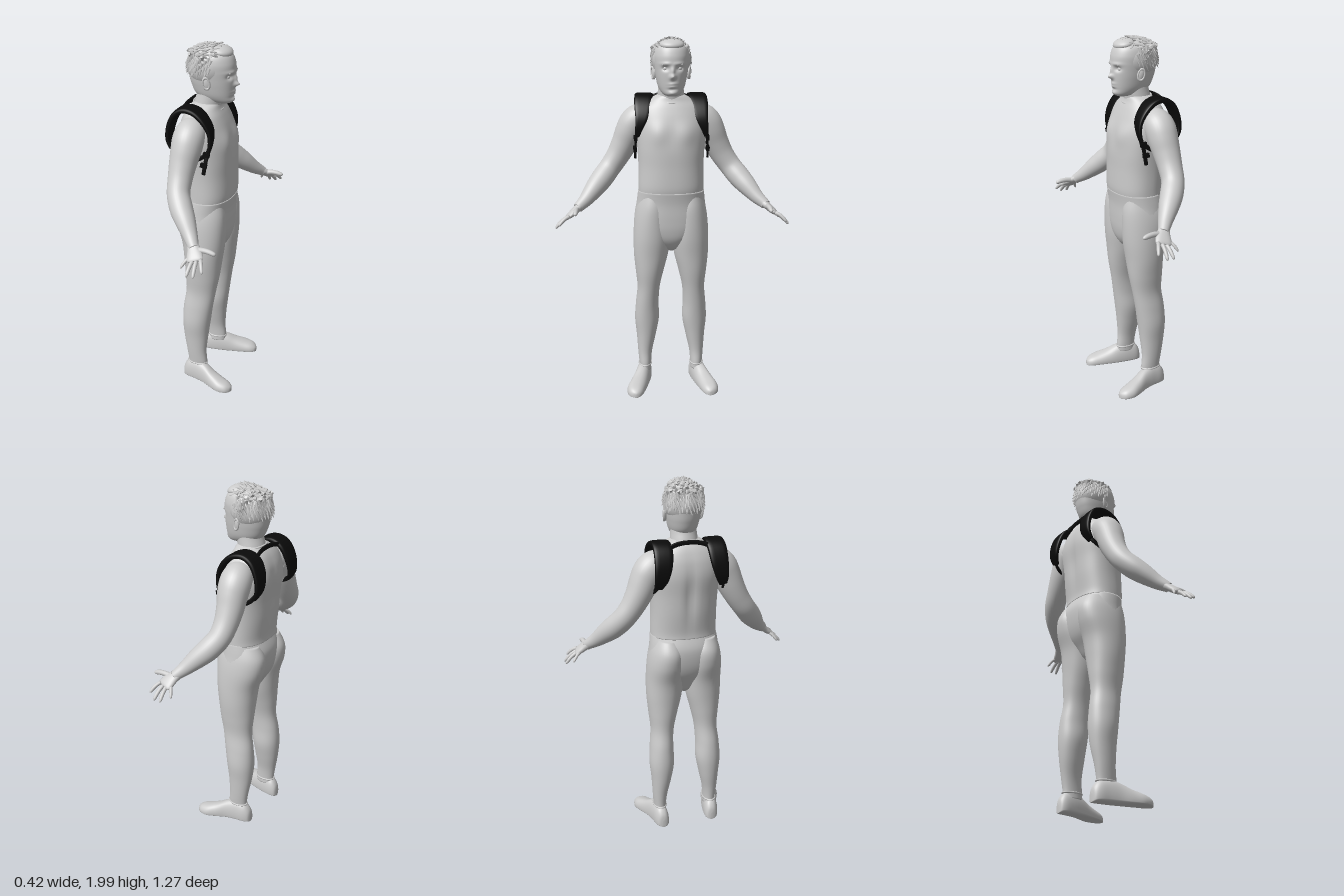
import * as THREE from 'three';

const grey = new THREE.MeshStandardMaterial({ color: 0xcccccc, side: THREE.DoubleSide });
const black = new THREE.MeshStandardMaterial({ color: 0x0b0b0b, side: THREE.DoubleSide });
const V = (x, y, z) => new THREE.Vector3(x, y, z);
const spow = (v, p) => Math.sign(v) * Math.abs(v) ** p;
const bell = (d, w) => Math.exp(-((d / w) ** 2));

// Catmull-Rom interpolation of every column in a table of sections
function smooth(rows, steps) {
  const at = i => rows[Math.max(0, Math.min(rows.length - 1, i))];
  const out = [];
  for (let i = 0; i < rows.length - 1; i++) {
    for (let k = 0; k < steps; k++) {
      const t = k / steps;
      out.push(rows[i].map((_, c) => {
        const [a, b, d, e] = [at(i - 1)[c], at(i)[c], at(i + 1)[c], at(i + 2)[c]];
        return b + 0.5 * t * (d - a + t * (2 * a - 5 * b + 4 * d - e + t * (3 * (b - d) + e - a)));
      }));
    }
  }
  return [...out, rows[rows.length - 1]];
}

// Skin a list of rings (equal point counts), close both ends, face outward
function skin(rings) {
  const n = rings[0].length, pts = rings.flat(), idx = [];
  for (let r = 0; r < rings.length - 1; r++) {
    for (let i = 0; i < n; i++) {
      const a = r * n + i, b = r * n + (i + 1) % n;
      idx.push(a, b, a + n, b, b + n, a + n);
    }
  }
  [0, rings.length - 1].forEach((r, end) => {
    const mid = pts.length;
    pts.push(rings[r].reduce((s, p) => s.add(p), V(0, 0, 0)).divideScalar(n));
    for (let i = 0; i < n; i++) {
      const a = r * n + i, b = r * n + (i + 1) % n;
      idx.push(...(end ? [a, b, mid] : [b, a, mid]));
    }
  });
  let volume = 0;
  for (let i = 0; i < idx.length; i += 3) {
    volume += pts[idx[i]].dot(V(0, 0, 0).crossVectors(pts[idx[i + 1]], pts[idx[i + 2]]));
  }
  if (volume < 0) idx.reverse();
  const g = new THREE.BufferGeometry().setFromPoints(pts);
  g.setIndex(idx);
  g.computeVertexNormals();
  return g;
}

const around = (n, f) => Array.from({ length: n }, (_, i) => {
  const a = i / n * Math.PI * 2;
  return f(Math.cos(a), Math.sin(a));
});

// Upright form: rows of [y, xBack, xFront, zMin, zMax]
const upright = (rows, p = 0.9, n = 48, steps = 6) => smooth(rows, steps).map(([y, xb, xf, z0, z1]) =>
  around(n, (c, s) => V((xb + xf) / 2 + (xf - xb) / 2 * spow(c, p), y, (z0 + z1) / 2 + (z1 - z0) / 2 * spow(s, p))));

// Limb along a path: rows of [x, y, z, radiusAlongRef, radiusAcross]
function limb(rows, ref, p = 1, n = 20, steps = 5) {
  const path = smooth(rows, steps), pos = path.map(r => V(r[0], r[1], r[2]));
  return skin(path.map((r, i) => {
    const t = pos[Math.min(i + 1, pos.length - 1)].clone().sub(pos[Math.max(i - 1, 0)]).normalize();
    const u = ref.clone().addScaledVector(t, -ref.dot(t)).normalize();
    const v = V(0, 0, 0).crossVectors(t, u);
    return around(n, (c, s) => pos[i].clone()
      .addScaledVector(u, r[3] * spow(c, p)).addScaledVector(v, r[4] * spow(s, p)));
  }));
}

export function createModel() {
  const model = new THREE.Group();
  const add = (name, geometry, material = grey, parent = model) => {
    const m = new THREE.Mesh(geometry, material);
    m.name = name;
    parent.add(m);
    return m;
  };
  const sym = rows => rows.map(([y, b, f, z]) => [y, b, f, -z, z]);

  // Shirt with chest relief, spine groove
  const shirt = upright(sym([[1.16, -.163, .098, .18], [1.2, -.163, .102, .18], [1.3, -.175, .101, .179],
    [1.4, -.182, .1, .184], [1.5, -.19, .085, .193], [1.57, -.182, .065, .186], [1.62, -.165, .045, .165],
    [1.655, -.145, .028, .125], [1.68, -.12, .02, .085], [1.69, -.1, .01, .06]]), 0.88, 64);
  shirt.flat().forEach(p => {
    if (p.x > 0) p.x += .012 * bell(p.y - 1.49, .06) * bell(Math.abs(p.z) - .075, .05);
    if (p.x < -.1) p.x += .014 * bell(p.z, .025) * bell(p.y - 1.4, .15);
  });
  add('shirt', skin(shirt));

  // Hips
  add('hips', skin(upright(sym([[.815, -.06, -.01, .012], [.84, -.09, .035, .05], [.89, -.12, .07, .12],
    [.95, -.155, .085, .18], [1.02, -.175, .09, .198], [1.1, -.18, .092, .19], [1.165, -.16, .1, .182]]), 0.9)));

  // Neck and collar
  add('neck', limb([[-.055, 1.6, 0, .08, .085], [-.05, 1.66, 0, .074, .076], [-.04, 1.71, 0, .07, .07],
    [-.03, 1.77, 0, .07, .065]], V(1, 0, 0), 1, 32));
  const collar = add('collar', new THREE.TorusGeometry(.079, .005, 8, 40));
  collar.position.set(-.047, 1.665, 0);
  collar.rotation.set(Math.PI / 2, -.25, 0);

  // Head with a sculpted face
  const head = upright(sym([[1.685, -.01, .068, .025], [1.698, -.07, .088, .05], [1.73, -.115, .092, .07],
    [1.78, -.138, .097, .083], [1.82, -.148, .099, .09], [1.86, -.153, .1, .095], [1.9, -.148, .096, .095],
    [1.94, -.125, .078, .082], [1.965, -.085, .04, .05], [1.972, -.04, 0, .015]]), 0.92, 112, 9);
  head.flat().forEach(p => {
    if (p.x < .03) return;
    const az = Math.abs(p.z), y = p.y;
    p.x += .024 * bell(y - 1.79, .013) * bell(az, .014) + .013 * bell(y - 1.818, .022) * bell(az, .01)
      - .014 * bell(y - 1.833, .013) * bell(az - .038, .018) + .005 * bell(y - 1.857, .009) * bell(az - .035, .03)
      + .007 * bell(y - 1.753, .006) * bell(az, .022) + .007 * bell(y - 1.738, .006) * bell(az, .019)
      - .004 * bell(y - 1.724, .007) * bell(az, .025) + .006 * bell(y - 1.704, .01) * bell(az, .022);
  });
  add('head', skin(head));

  // Hair: a cap, a raised fringe and swept locks
  const hair = new THREE.Group();
  hair.name = 'hair';
  model.add(hair);
  const centre = V(-.037, 1.872, 0), size = V(.122, .113, .104);
  const cap = add('hairCap', new THREE.SphereGeometry(1, 40, 28), grey, hair);
  cap.scale.copy(size);
  cap.position.copy(centre);
  cap.rotation.z = .12;
  const fringe = add('fringe', new THREE.SphereGeometry(1, 24, 16), grey, hair);
  fringe.scale.set(.055, .028, .065);
  fringe.position.set(.03, 1.953, 0);
  fringe.rotation.z = -.2;
  for (let i = 0; i < 260; i++) {
    const dy = 1 - i / 260 * 1.35, a = i * 2.39996, r = Math.sqrt(1 - dy * dy);
    const d = V(r * Math.cos(a), dy, r * Math.sin(a)), wave = Math.sin(i * 12.9);
    if (dy < (d.x > .3 ? .5 : -.3)) continue;
    const top = THREE.MathUtils.smoothstep(dy, .2, .8);
    const flow = V(.8, .1, .6 * wave).multiplyScalar(top).add(V(-.3, -.9, .25 * wave).multiplyScalar(1 - top));
    const lock = add('hairLock', new THREE.ConeGeometry(.011, .042, 5), grey, hair);
    lock.position.copy(d).multiply(size).add(centre);
    if (d.x > .25) lock.position.y += .008;
    lock.quaternion.setFromUnitVectors(V(0, 1, 0), flow.normalize().addScaledVector(d, .3).normalize());
  }

  for (const s of [1, -1]) {
    const side = s > 0 ? 'right' : 'left';
    const flip = rows => rows.map(([x, y, z, ...rest]) => [x, y, s * z, ...rest]);
    const tube = (rows, ref, ...o) => limb(flip(rows).map(r => r.length < 5 ? [...r, r[3]] : r), ref, ...o);

    // Eye, brow, ear
    const eye = add(side + 'Eye', new THREE.SphereGeometry(.013, 16, 12));
    eye.position.set(.071, 1.832, s * .037);
    const brow = add(side + 'Brow', new THREE.CapsuleGeometry(.004, .028, 4, 8));
    brow.position.set(.083, 1.854, s * .038);
    brow.rotation.set(Math.PI / 2, s * .5, 0, 'YXZ');
    const ear = add(side + 'Ear', new THREE.SphereGeometry(1, 16, 12));
    ear.scale.set(.019, .033, .009);
    ear.position.set(-.018, 1.802, s * .093);
    ear.rotation.set(0, s * .35, .2);
    const rim = add(side + 'EarRim', new THREE.TorusGeometry(.02, .005, 8, 20));
    rim.scale.set(.85, 1.45, 1);
    rim.position.set(-.02, 1.804, s * .099);
    rim.rotation.set(0, s * .35, .2);

    // Leg: thigh, knee, calf, ankle
    const leg = [[.09, -.115, -.005, .115, .18], [.13, -.115, -.003, .115, .184], [.2, -.125, -.008, .108, .19],
      [.3, -.142, 0, .086, .197], [.4, -.15, .012, .068, .206], [.5, -.144, .026, .07, .2],
      [.6, -.13, .042, .064, .191], [.7, -.135, .06, .042, .2], [.8, -.142, .072, .017, .209],
      [.9, -.155, .084, .003, .21], [1, -.186, .088, .004, .205], [1.08, -.19, .085, .01, .192],
      [1.15, -.155, .07, .03, .17]];
    add(side + 'Leg', skin(upright(leg.map(([y, b, f, i, o]) => [y, b, f, s * i, s * o]), 0.95, 40)));

    // Shoe: rows of [x, height, halfWidth, z], flat underneath
    const shoe = [[-.146, .05, .008, .146], [-.138, .085, .028, .147], [-.11, .118, .04, .15], [-.06, .13, .043, .157],
      [-.005, .118, .045, .17], [.05, .09, .05, .19], [.1, .072, .052, .207], [.145, .057, .042, .213],
      [.168, .042, .024, .212], [.176, .03, .006, .21]];
    add(side + 'Shoe', skin(smooth(shoe, 5).map(([x, h, w, z]) => around(32, (c, q) =>
      V(x, .008 + (h - .008) * (q > 0 ? .3 + .7 * q : .3 - .3 * Math.abs(q) ** .4), s * z + w * spow(c, .8))))));
    const cuff = add(side + 'AnkleCuff', new THREE.TorusGeometry(.044, .005, 8, 28));
    cuff.scale.set(1.27, .82, 1);
    cuff.position.set(-.06, .12, s * .15);
    cuff.rotation.x = Math.PI / 2;

    // Arm
    add(side + 'Arm', tube([[-.07, 1.555, .11, .07], [-.075, 1.556, .165, .08], [-.078, 1.53, .197, .083],
      [-.08, 1.485, .222, .08], [-.085, 1.42, .252, .072], [-.085, 1.35, .29, .064], [-.075, 1.285, .335, .06],
      [-.04, 1.23, .38, .06], [0, 1.185, .42, .053], [.045, 1.135, .465, .039], [.075, 1.105, .5, .03],
      [.085, 1.095, .51, .028]], V(1, 0, 0), 1, 32));

    // Hand
    const hand = new THREE.Group();
    hand.name = side + 'Hand';
    model.add(hand);
    add('palm', tube([[.07, 1.108, .495, .028, .024], [.088, 1.09, .518, .034, .02], [.102, 1.072, .54, .041, .018],
      [.111, 1.058, .558, .042, .014], [.115, 1.052, .566, .034, .009]], V(1, 0, 0), .9, 24), grey, hand);
    const fingers = [['index', .14, 1.062, .556, .17, 1.018, .611], ['middle', .12, 1.053, .563, .13, .995, .631],
      ['ring', .1, 1.052, .56, .093, .994, .63], ['little', .08, 1.06, .549, .048, 1.015, .594],
      ['thumb', .105, 1.09, .515, .207, 1.085, .522]];
    for (const [name, x, y, z, tx, ty, tz] of fingers) {
      const thumb = name === 'thumb', r = thumb ? .014 : name === 'little' ? .0085 : .01;
      const rows = [[0, 1.1], [.35, 1], [.65, .95], [.88, .8], [.97, .5], [1, .12]].map(([t, k]) =>
        [x + (tx - x) * t, y + (ty - y) * t + .008 * Math.sin(t * 3.14), z + (tz - z) * t, r * k]);
      add(name + 'Finger', tube(rows, thumb ? V(0, 1, 0) : V(1, 0, 0), 1, 12, 3), grey, hand);
    }

    // Shoulder strap: padded band, webbing under the arm, hanging front strap
    add(side + 'StrapPad', tube([[-.178, 1.46, .175, .022, .009], [-.2, 1.51, .162, .036, .012],
      [-.195, 1.58, .15, .046, .014], [-.165, 1.645, .144, .05, .015], [-.115, 1.675, .143, .05, .015],
      [-.055, 1.668, .147, .05, .015], [-.005, 1.63, .152, .047, .014], [.028, 1.575, .16, .036, .012],
      [.036, 1.52, .175, .022, .01], [.028, 1.47, .187, .012, .008]], V(0, 0, 1), .55, 24), black);
    add(side + 'StrapWebbing', tube([[-.185, 1.48, .172, .012, .005], [-.155, 1.445, .185, .012, .005],
      [-.1, 1.42, .192, .012, .005], [-.04, 1.425, .196, .012, .005], [.015, 1.455, .192, .012, .005]],
    V(0, 1, 0), .6, 12), black);
    add(side + 'StrapTail', tube([[.03, 1.49, .184, .01, .006], [.018, 1.43, .195, .01, .006],
      [.004, 1.35, .197, .01, .006]], V(1, 0, 0), .5, 12), black);
    for (const [x, y, z] of [[.02, 1.46, .195], [.006, 1.4, .198]]) {
      const buckle = add(side + 'Buckle', new THREE.BoxGeometry(.034, .022, .018), black);
      buckle.position.set(x, y, s * z);
      buckle.rotation.z = -.2;
    }
  }

  // Strap joining both pads across the upper back
  add('backStrap', limb([[-.15, 1.655, -.12, .012, .007], [-.142, 1.675, -.06, .012, .007], [-.14, 1.68, 0, .012, .007],
    [-.142, 1.675, .06, .012, .007], [-.15, 1.655, .12, .012, .007]], V(0, 1, 0), .6, 12), black);
  return model;
}
